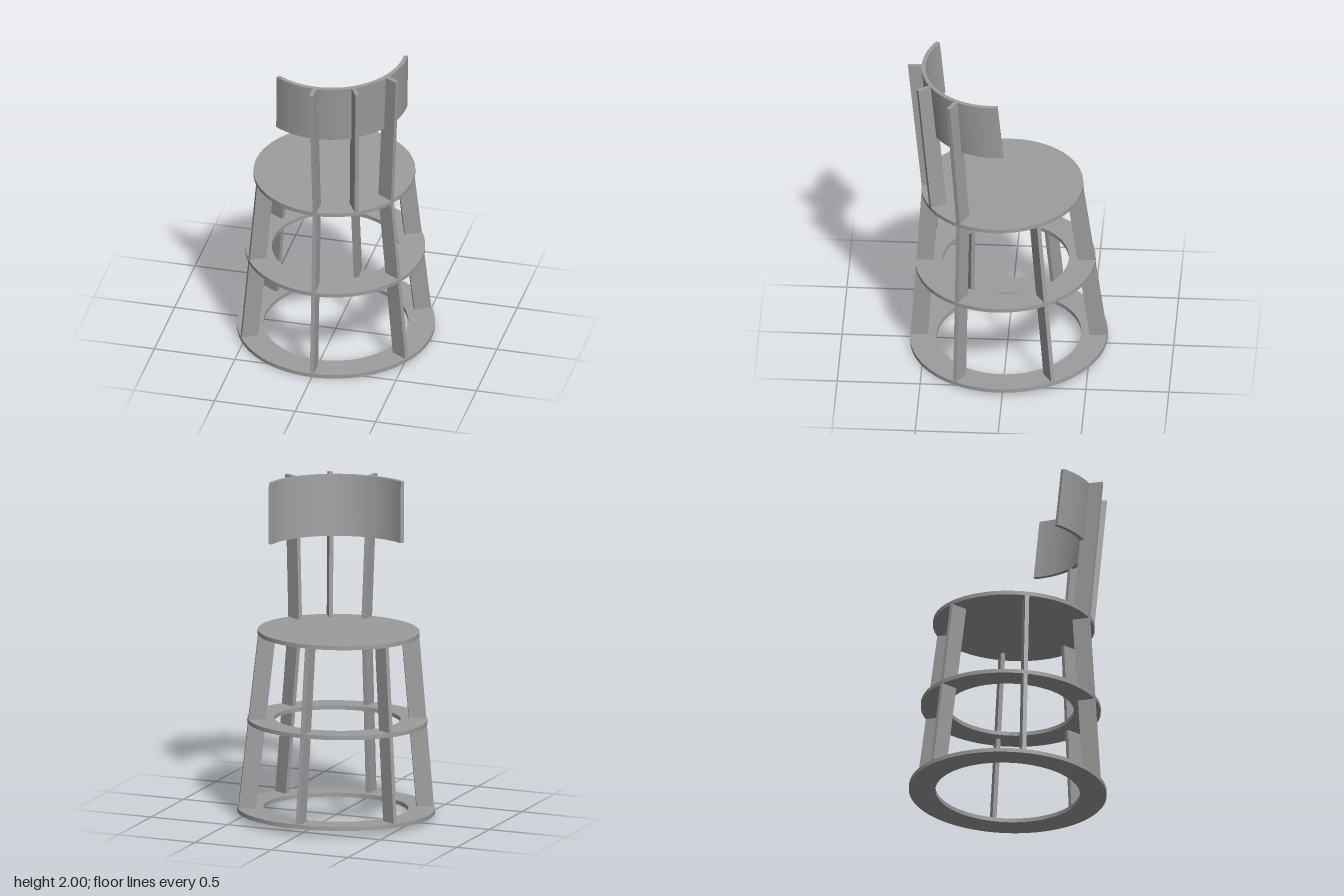
import * as THREE from 'three';
import { toCreasedNormals } from 'three/addons/utils/BufferGeometryUtils.js';

const grey = new THREE.MeshStandardMaterial({ color: 0x9d9d9d });
const THICK = 0.025; // board thickness
const DEPTH = 0.105; // radial depth of legs and slats

function part(geometry, name) {
  const mesh = new THREE.Mesh(geometry, grey);
  mesh.name = name;
  return mesh;
}

// Extrude a floor-plan shape (x, z) upwards from y = 0, with smooth curved walls.
function extrudeUp(shape, height, curveSegments) {
  const geo = new THREE.ExtrudeGeometry(shape, { depth: height, bevelEnabled: false, curveSegments });
  geo.rotateX(Math.PI / 2).translate(0, height, 0);
  return toCreasedNormals(geo, 0.6);
}

// Flat disc centred on height y, optionally with a round opening.
function disc(name, y, radius, hole) {
  const shape = new THREE.Shape().absarc(0, 0, radius, 0, Math.PI * 2);
  if (hole) shape.holes.push(new THREE.Path().absarc(0, 0, hole, 0, Math.PI * 2, true));
  const mesh = part(extrudeUp(shape, THICK, 48), name);
  mesh.position.y = y - THICK / 2;
  return mesh;
}

// Radial board leaning from outer radius r0 at y0 to r1 at y1; angle 0 faces the front.
function board(name, angle, r0, y0, r1, y1) {
  const shape = new THREE.Shape([
    new THREE.Vector2(r0 - DEPTH, y0),
    new THREE.Vector2(r0, y0),
    new THREE.Vector2(r1, y1),
    new THREE.Vector2(r1 - DEPTH, y1),
  ]);
  const geo = new THREE.ExtrudeGeometry(shape, { depth: THICK, bevelEnabled: false });
  geo.translate(0, 0, -THICK / 2);
  const mesh = part(geo, name);
  mesh.rotation.y = angle - Math.PI / 2;
  return mesh;
}

export function createModel() {
  const model = new THREE.Group();
  model.name = 'roundChair';

  // The whole chair tips slightly towards the front.
  const chair = new THREE.Group();
  chair.name = 'chair';
  chair.rotation.x = 0.036;
  chair.position.z = -0.008;
  model.add(chair);

  // Foot ring, middle ring and solid seat
  chair.add(disc('footRing', 0.034, 0.596, 0.436));
  chair.add(disc('middleRing', 0.581, 0.542, 0.381));
  chair.add(disc('seat', 1.122, 0.487));

  // Six legs leaning inwards
  for (let i = 0; i < 6; i++) {
    chair.add(board('leg', (i * Math.PI) / 3, 0.594, 0.036, 0.486, 1.12));
  }

  // Three back slats leaning outwards, centred 30 degrees to one side
  for (let i = 0; i < 3; i++) {
    chair.add(board('backSlat', (i * Math.PI) / 6, 0.486, 1.12, 0.538, 2.002));
  }

  // Curved backrest panel along the inner edge of the slats, slanted outwards with level rims
  const half = THREE.MathUtils.degToRad(63);
  const inner = 0.436, mid = Math.PI / 2;
  const arc = new THREE.Shape();
  arc.absarc(0, 0, inner + THICK, mid - half, mid + half, false);
  arc.absarc(0, 0, inner, mid + half, mid - half, true);
  arc.closePath();
  const panelGeo = extrudeUp(arc, 0.372, 32);
  panelGeo.applyMatrix4(new THREE.Matrix4().makeShear(0, 0, 0, 0.062, 0, 0));
  const panel = part(panelGeo, 'backrestPanel');
  panel.position.set(0, 1.63, -0.029);
  const backrest = new THREE.Group();
  backrest.name = 'backrest';
  backrest.rotation.y = Math.PI / 6;
  backrest.add(panel);
  chair.add(backrest);

  return model;
}
